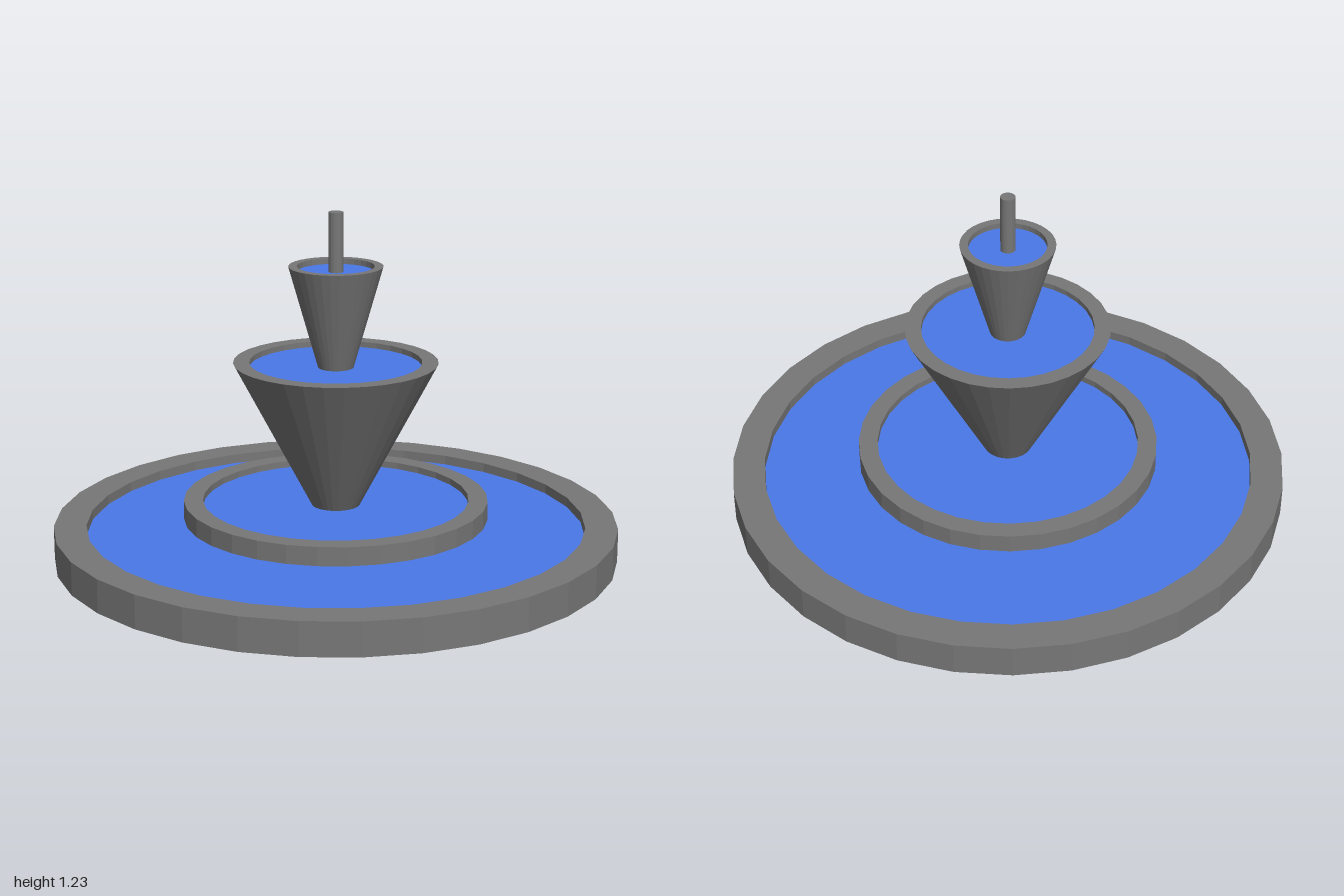
import * as THREE from 'three';

const SIDES = 32;
const stone = new THREE.MeshStandardMaterial({ color: 0x777777, flatShading: true });
const blue = new THREE.MeshStandardMaterial({ color: 0x4a78e8, flatShading: true });

// Round basin: closed underside, outer wall, flat rim, inner wall and a disc of water
function basin(name, { bottom, top, foot, low, lowY = bottom, outer, inner, water }) {
  const group = new THREE.Group();
  group.name = name;
  const profile = [[0, bottom], [foot, bottom]];
  if (low) profile.push([low, lowY]);
  profile.push([outer, top], [inner, top], [inner, water - 0.005]);
  const shell = new THREE.Mesh(
    new THREE.LatheGeometry(profile.map(([r, y]) => new THREE.Vector2(r, y)), SIDES), stone);
  shell.name = name + 'Shell';
  const surface = new THREE.Mesh(new THREE.CircleGeometry(inner, SIDES).rotateX(-Math.PI / 2), blue);
  surface.position.y = water;
  surface.name = name + 'Water';
  group.add(shell, surface);
  return group;
}

export function createModel() {
  const model = new THREE.Group();
  model.name = 'tieredFountain';

  // Wide pool, then a shallow dish with a gently sloped underside
  model.add(basin('pool', { bottom: 0, top: 0.12, foot: 1, outer: 1, inner: 0.885, water: 0.085 }));
  model.add(basin('dish', {
    bottom: 0.095, top: 0.202, foot: 0.1, low: 0.54, lowY: 0.135, outer: 0.54, inner: 0.472, water: 0.178,
  }));

  // Two conical bowls, each standing in the water below
  model.add(basin('lowerBowl', { bottom: 0.176, top: 0.7, foot: 0.085, outer: 0.36, inner: 0.303, water: 0.68 }));
  model.add(basin('upperBowl', { bottom: 0.678, top: 1.04, foot: 0.062, outer: 0.165, inner: 0.135, water: 1.02 }));

  // Spout at the top
  const spout = new THREE.Mesh(new THREE.CylinderGeometry(0.026, 0.026, 0.22, 16), stone);
  spout.name = 'spout';
  spout.position.y = 1.12;
  model.add(spout);

  return model;
}
